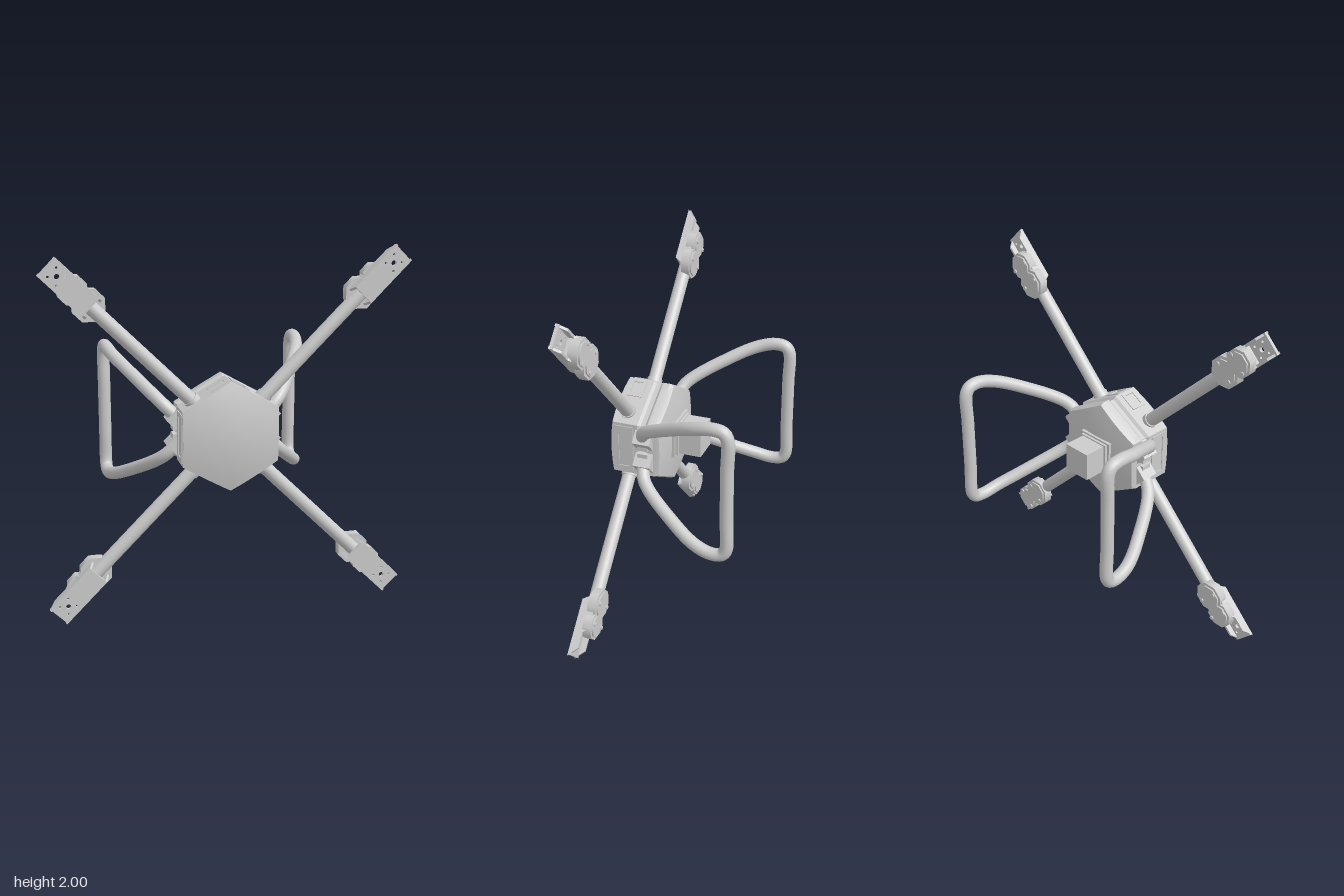
import * as THREE from 'three';
import { toCreasedNormals } from 'three/addons/utils/BufferGeometryUtils.js';

const MID = 1.0; // height of the hub centre
const ARM_Z = 0.315;
const material = new THREE.MeshStandardMaterial({ color: 0xcccccc });

function add(parent, name, geometry, x = 0, y = 0, z = 0) {
  const mesh = new THREE.Mesh(geometry, material);
  mesh.name = name;
  mesh.position.set(x, y, z);
  parent.add(mesh);
  return mesh;
}

const box = (w, h, d) => new THREE.BoxGeometry(w, h, d);
const polygon = (points) => new THREE.Shape(points.map(([x, y]) => new THREE.Vector2(x, y)));
const extrude = (shape, depth) =>
  new THREE.ExtrudeGeometry(shape, { depth, bevelEnabled: false, curveSegments: 12 });

function addHole(shape, x, y, r) {
  const hole = new THREE.Path();
  hole.absarc(x, y, r, 0, Math.PI * 2, true);
  shape.holes.push(hole);
}

// cylinder lying along z
const disc = (r, depth, sides) => new THREE.CylinderGeometry(r, r, depth, sides).rotateX(Math.PI / 2);

// hexagonal hub: a lathe pressed to six flat sides, with domed front and back
function hubGeometry() {
  const profile = [
    [0, 0.1], [0.1, 0.1], [0.2, 0.1], [0.292, 0.1], [0.302, 0.14], [0.302, 0.18],
    [0.288, 0.195], [0.288, 0.22], [0.305, 0.235], [0.305, 0.39],
    [0.25, 0.39], [0.17, 0.39], [0.08, 0.39], [0, 0.39],
  ].map(([r, z]) => new THREE.Vector2(r, z));
  const geometry = new THREE.LatheGeometry(profile, 48).rotateX(Math.PI / 2);
  const p = geometry.attributes.position;
  const sector = Math.PI / 3;
  for (let i = 0; i < p.count; i++) {
    const angle = Math.atan2(p.getY(i), p.getX(i));
    const off = angle - Math.round(angle / sector) * sector;
    const k = Math.cos(sector / 2) / Math.cos(off);
    const x = p.getX(i) * k, y = p.getY(i) * k;
    const r2 = x * x + y * y;
    let z = p.getZ(i);
    if (z > 0.38) z = 0.425 - 0.48 * r2;
    if (z < 0.12) z = 0.085 + 0.4 * r2;
    p.setXYZ(i, x, y, z);
  }
  return toCreasedNormals(geometry, 0.35);
}

// raised rim around a side pocket, w along the hub side and d along z
function pocketFrame(w, d, rim) {
  const rect = (a, b) => [[-a, -b], [a, -b], [a, b], [-a, b]];
  const shape = polygon(rect(w / 2, d / 2));
  shape.holes.push(polygon(rect(w / 2 - rim, d / 2 - rim)));
  return extrude(shape, 0.014).rotateY(Math.PI / 2).rotateX(Math.PI / 2);
}

function createHub() {
  const hub = new THREE.Group();
  hub.name = 'hub';
  hub.position.y = MID;
  add(hub, 'hubShell', hubGeometry());

  for (let i = 0; i < 6; i++) {
    const side = new THREE.Group();
    side.name = 'hubSide';
    side.rotation.z = (i * Math.PI) / 3;
    hub.add(side);
    const upright = i % 3 === 0;
    const shift = upright ? 0 : (i % 3 === 1 ? 0.085 : -0.085);
    const frame = upright ? pocketFrame(0.27, 0.11, 0.025) : pocketFrame(0.11, 0.09, 0.015);
    add(side, 'pocketRim', frame, 0.255, shift, 0.315);
  }

  // camera block on its rear mounting plate
  add(hub, 'cameraPlate', box(0.22, 0.2, 0.05), 0, 0, 0.1);
  add(hub, 'cameraNeck', box(0.19, 0.18, 0.02), 0, 0, 0.07);
  add(hub, 'cameraBlock', box(0.165, 0.165, 0.15), 0, 0, 0.005);
  return hub;
}

// one arm, built along +x and turned about the hub
function createArm(angle) {
  const arm = new THREE.Group();
  arm.name = 'arm';
  arm.position.y = MID;
  arm.rotation.z = angle;

  const tube = (r, length) => new THREE.CylinderGeometry(r, r, length, 24).rotateZ(Math.PI / 2);
  add(arm, 'armTube', tube(0.038, 0.98), 0.69, 0, ARM_Z);
  add(arm, 'armCollar', tube(0.044, 0.06), 0.265, 0, ARM_Z);

  // motor plate: drilled floor between two slanted side walls
  const floor = polygon([[1.035, -0.065], [1.345, -0.065], [1.345, 0.065], [1.035, 0.065]]);
  addHole(floor, 1.27, 0, 0.014);
  for (const sx of [-1, 1]) for (const sy of [-1, 1]) addHole(floor, 1.27 + sx * 0.032, sy * 0.032, 0.007);
  add(arm, 'motorPlate', extrude(floor, 0.018), 0, 0, 0.347);

  const wall = polygon([[1.035, 0.365], [1.35, 0.365], [1.3, 0.315], [1.215, 0.315], [1.185, 0.285], [0.985, 0.285]]);
  for (const s of [-1, 1]) {
    const geometry = extrude(wall, 0.014).rotateX(Math.PI / 2).translate(0, 0.007, 0);
    add(arm, 'plateWall', geometry, 0, s * 0.058, 0);
    add(arm, 'wallScrew', new THREE.CylinderGeometry(0.008, 0.008, 0.004, 10), 1.12, s * 0.066, 0.325);
  }
  add(arm, 'plateBridge', box(0.02, 0.12, 0.045), 1.2, 0, 0.333);

  // two eight-sided clamps behind the plate
  for (const [x, r] of [[1.04, 0.092], [1.155, 0.082]]) {
    const clamp = disc(r, 0.05, 8).rotateZ(Math.PI / 8);
    add(arm, 'clamp', clamp, x, 0, 0.295);
    add(arm, 'clampCap', disc(r * 0.82, 0.012, 8).rotateZ(Math.PI / 8), x, 0, 0.267);
    for (const s of [-1, 1]) add(arm, 'clampBolt', disc(0.012, 0.012, 10), x, s * 0.055, 0.26);
  }
  return arm;
}

// landing leg loop on one side, with its two hub brackets
function createLeg(side) {
  const leg = new THREE.Group();
  leg.name = side > 0 ? 'leftLandingLeg' : 'rightLandingLeg';
  leg.position.y = MID;
  const half = [
    [0.25, 0.07, 0.205], [0.33, 0.15, 0.17], [0.47, 0.285, -0.05], [0.54, 0.352, -0.2],
    [0.558, 0.376, -0.3], [0.56, 0.366, -0.362], [0.56, 0.33, -0.385], [0.56, 0.15, -0.385],
  ];
  const upper = half.map(([x, y, z]) => new THREE.Vector3(side * x, y, z));
  const lower = half.map(([x, y, z]) => new THREE.Vector3(side * x, -y, z)).reverse();
  const path = new THREE.CatmullRomCurve3([...upper, ...lower]);
  add(leg, 'legTube', new THREE.TubeGeometry(path, 140, 0.036, 18, false));

  for (const s of [-1, 1]) {
    const bracket = add(leg, 'legBracket', box(0.1, 0.1, 0.1), side * 0.25, s * 0.07, 0.195);
    bracket.rotation.z = (side * s * Math.PI) / 4;
    add(leg, 'bracketLug', box(0.05, 0.05, 0.06), side * 0.26, s * 0.035, 0.2);
  }
  return leg;
}

export function createModel() {
  const model = new THREE.Group();
  model.name = 'quadcopter';
  model.add(createHub());
  for (let i = 0; i < 4; i++) model.add(createArm(Math.PI / 4 + (i * Math.PI) / 2));
  for (const side of [-1, 1]) model.add(createLeg(side));
  return model;
}
